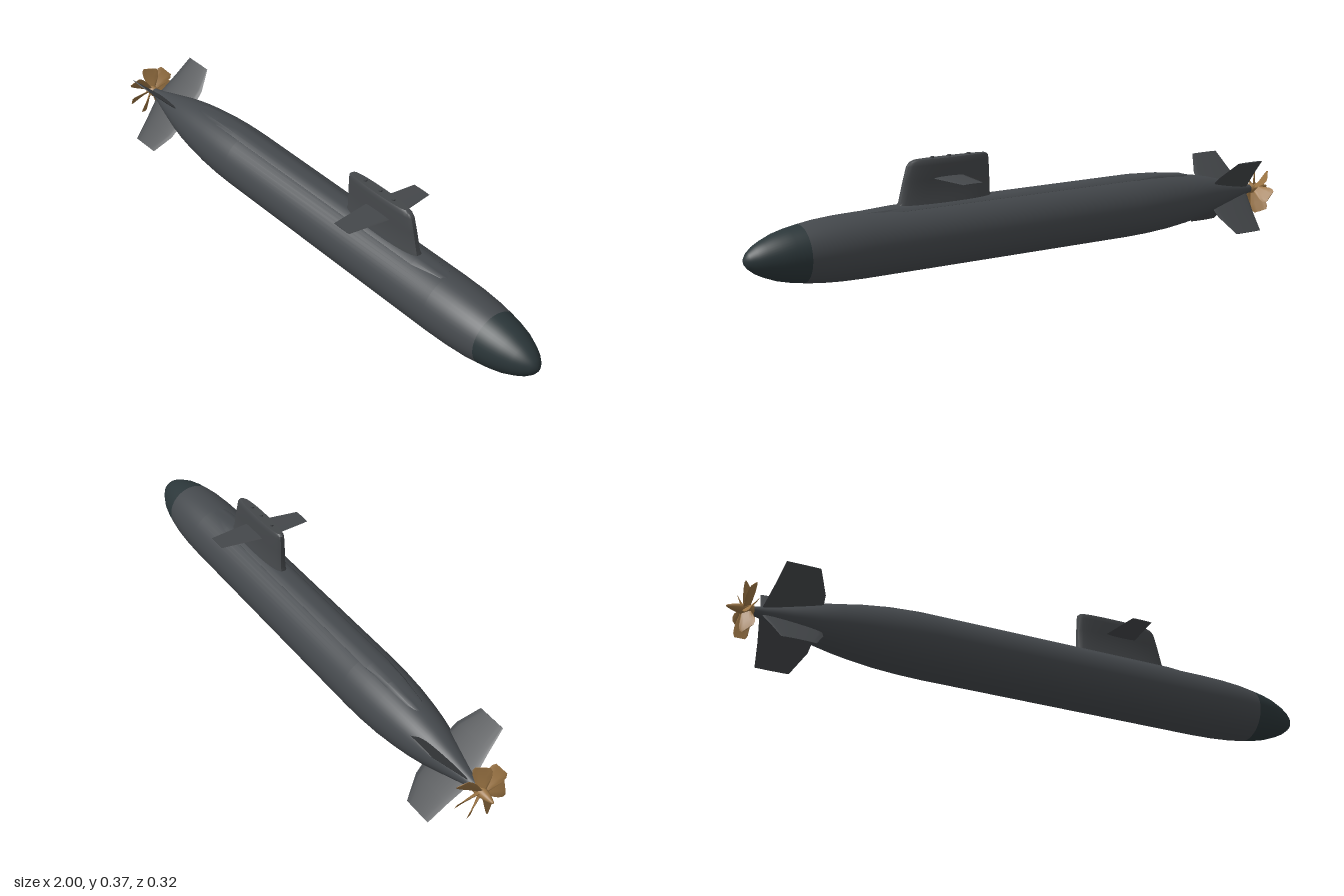
import * as THREE from 'three';
import { toCreasedNormals } from 'three/addons/utils/BufferGeometryUtils.js';

const AXIS = 0.125; // height of the hull centreline
const V = (x, y, z) => new THREE.Vector3(x, y, z);
const paint = (color) => new THREE.MeshStandardMaterial({ color });
const hullPaint = paint(0x45494d);
const nosePaint = paint(0x2b3639);
const sailPaint = paint(0x44474a);
const bronze = paint(0x9c7544);

function add(parent, name, geometry, material) {
  const mesh = new THREE.Mesh(geometry, material);
  mesh.name = name;
  parent.add(mesh);
  return mesh;
}

// Solid skinned through closed rings of equal length, with flat end caps
function loft(rings, crease = 0.6) {
  const n = rings[0].length;
  const pts = rings.flat();
  const index = [];
  for (let i = 0; i < rings.length - 1; i++) {
    for (let j = 0; j < n; j++) {
      const a = i * n + j, b = i * n + (j + 1) % n;
      index.push(a, b, a + n, b, b + n, a + n);
    }
  }
  const last = (rings.length - 1) * n;
  for (let j = 1; j < n - 1; j++) {
    index.push(0, j + 1, j, last, last + j, last + j + 1);
  }
  // turn the faces outward if the rings ran the other way
  let volume = 0;
  const cross = V(0, 0, 0);
  for (let i = 0; i < index.length; i += 3) {
    volume += pts[index[i]].dot(cross.crossVectors(pts[index[i + 1]], pts[index[i + 2]]));
  }
  if (volume < 0) index.reverse();
  const g = new THREE.BufferGeometry().setFromPoints(pts);
  g.setIndex(index);
  return toCreasedNormals(g, crease);
}

// Streamlined section from x0 (rear) to x1 (front) at height y, half thickness h
function foil(x0, x1, y, h, blunt = 1, n = 28) {
  return Array.from({ length: n }, (_, i) => {
    const a = (i / n) * Math.PI * 2;
    const s = Math.sin(a);
    return V((x0 + x1) / 2 + Math.cos(a) * (x1 - x0) / 2, y, Math.sign(s) * Math.abs(s) ** blunt * h);
  });
}

// Body of revolution along x from [x, radius] pairs
function turned(profile, segments = 48) {
  const g = new THREE.LatheGeometry(profile.map(([x, r]) => new THREE.Vector2(r, x)), segments);
  return g.rotateZ(-Math.PI / 2).translate(0, AXIS, 0);
}

export function createModel() {
  const model = new THREE.Group();
  model.name = 'submarine';

  // Pressure hull and darker sonar nose
  add(model, 'hull', turned([
    [-0.94, 0.009], [-0.88, 0.021], [-0.8, 0.043], [-0.72, 0.064], [-0.66, 0.076], [-0.6, 0.085],
    [-0.52, 0.094], [-0.44, 0.099], [-0.36, 0.101], [0.62, 0.101], [0.7, 0.099], [0.77, 0.094], [0.82, 0.087],
  ]), hullPaint);
  add(model, 'nose', turned([
    [0.82, 0.087], [0.86, 0.08], [0.9, 0.07], [0.94, 0.054], [0.965, 0.041], [0.985, 0.025], [0.994, 0.013], [0.997, 0],
  ]), nosePaint);

  // Low deck casing: [x, top height, half width]
  const deck = [
    [-0.66, 0.198, 0.012], [-0.6, 0.214, 0.028], [-0.5, 0.225, 0.036], [-0.4, 0.23, 0.04],
    [0.5, 0.23, 0.04], [0.6, 0.227, 0.03], [0.68, 0.222, 0.012],
  ];
  add(model, 'deckCasing', loft(deck.map(([x, top, w]) => [
    V(x, top - 0.04, -w * 1.15), V(x, top - 0.012, -w), V(x, top - 0.003, -w * 0.75), V(x, top, -w * 0.3),
    V(x, top, w * 0.3), V(x, top - 0.003, w * 0.75), V(x, top - 0.012, w), V(x, top - 0.04, w * 1.15),
  ])), hullPaint);

  // Sail: [height, rear x, front x, half width]
  const sail = [
    [0.2, 0.16, 0.5, 0.03], [0.228, 0.163, 0.495, 0.029], [0.238, 0.167, 0.489, 0.025],
    [0.3, 0.168, 0.473, 0.023], [0.345, 0.17, 0.46, 0.021], [0.357, 0.172, 0.45, 0.02], [0.363, 0.18, 0.435, 0.017],
  ];
  add(model, 'sail', loft(sail.map(([y, x0, x1, h]) => foil(x0, x1, y, h, 0.65, 40))), sailPaint);

  // Mast hatches on the sail roof
  for (const x of [0.24, 0.31, 0.37]) {
    const hatch = add(model, 'mastHatch', new THREE.CylinderGeometry(0.006, 0.006, 0.006, 16), sailPaint);
    hatch.position.set(x, 0.365, 0);
  }

  // Fairwater planes on both sides of the sail
  const plane = loft([
    foil(0.268, 0.378, 0.01, 0.0045), foil(0.272, 0.374, 0.04, 0.004), foil(0.286, 0.356, 0.16, 0.0015),
  ]);
  for (const side of [1, -1]) {
    const mesh = add(model, side > 0 ? 'frontSailPlane' : 'backSailPlane', plane, sailPaint);
    mesh.position.y = 0.303;
    mesh.rotation.x = side * Math.PI / 2;
  }

  // Four stern fins in an X
  const fin = loft([
    foil(-0.895, -0.712, 0.01, 0.006), foil(-0.877, -0.72, 0.095, 0.0045), foil(-0.864, -0.757, 0.172, 0.0018),
  ]);
  for (let i = 0; i < 4; i++) {
    const mesh = add(model, 'sternFin', fin, sailPaint);
    mesh.position.y = AXIS;
    mesh.rotation.x = Math.PI / 4 + i * Math.PI / 2;
  }

  // Propeller: tapered hub and seven pitched blades
  const propeller = new THREE.Group();
  propeller.name = 'propeller';
  model.add(propeller);
  add(propeller, 'hub', turned([
    [-1, 0], [-0.996, 0.004], [-0.975, 0.011], [-0.95, 0.016], [-0.918, 0.017], [-0.912, 0],
  ], 24), bronze);
  // [radius, chord, half thickness, pitch]
  const blade = loft([
    [0.01, 0.028, 0.004, 0.6], [0.03, 0.04, 0.003, 0.75], [0.055, 0.054, 0.0022, 0.87],
    [0.075, 0.056, 0.0016, 0.95], [0.086, 0.044, 0.001, 1],
  ].map(([r, c, h, pitch]) => foil(-c / 2, c / 2, r, h, 1, 16).map((p) => p.applyAxisAngle(V(0, 1, 0), pitch))));
  const blades = 7;
  for (let i = 0; i < blades; i++) {
    const mesh = add(propeller, 'blade', blade, bronze);
    mesh.position.set(-0.94, AXIS, 0);
    mesh.rotation.x = (i / blades) * Math.PI * 2;
  }

  return model;
}
